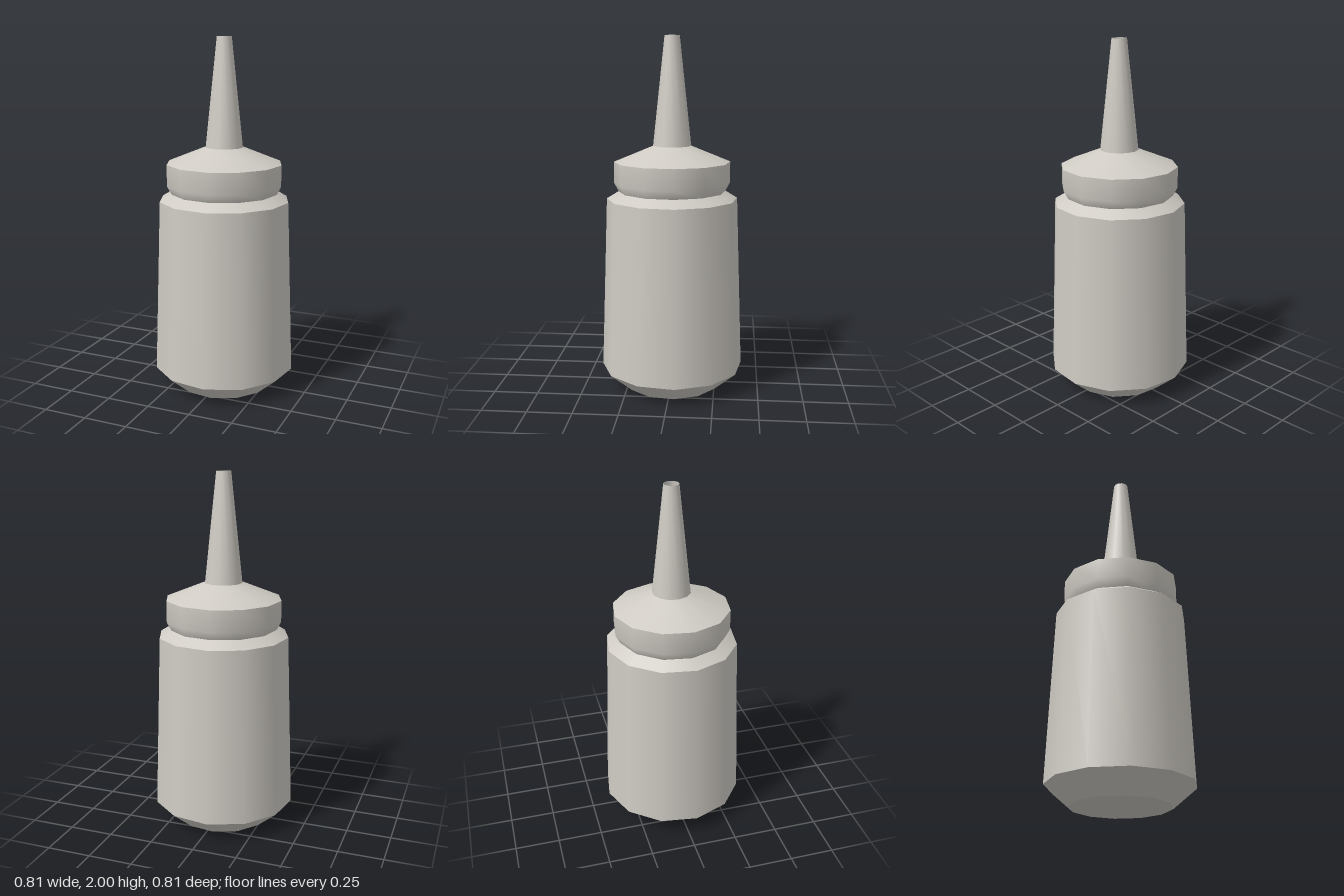
import * as THREE from 'three';

const SIDES = 12;
const TURN = 0.11; // small twist of the twelve-sided rings about the axis

export function createModel() {
  const bottle = new THREE.Group();
  bottle.name = 'squeezeBottle';

  const plastic = new THREE.MeshStandardMaterial({ color: 0xcfcbc4, side: THREE.DoubleSide });
  plastic.name = 'warm grey plastic';

  // One smooth band of revolution; separate bands keep hard edges between them
  function band(name, parent, ...profile) {
    const points = profile.map(([r, y]) => new THREE.Vector2(r, y));
    const mesh = new THREE.Mesh(new THREE.LatheGeometry(points, SIDES, TURN), plastic);
    mesh.name = name;
    parent.add(mesh);
  }

  // Bottle body, from the base up to the shoulder
  const body = new THREE.Group();
  body.name = 'body';
  band('base', body, [0, 0], [0.275, 0]);
  band('baseBevel', body, [0.275, 0], [0.406, 0.112]);
  band('wall', body, [0.406, 0.112], [0.37, 1.097]);
  band('shoulder', body, [0.37, 1.097], [0.303, 1.138]);

  // Screw cap with a tapered lower edge and a conical top
  const cap = new THREE.Group();
  cap.name = 'cap';
  band('capSide', cap, [0.303, 1.138], [0.328, 1.185], [0.328, 1.305]);
  band('capTop', cap, [0.328, 1.305], [0.107, 1.395]);
  band('nozzleFloor', cap, [0.107, 1.395], [0, 1.395]);

  // Open tapered nozzle
  band('nozzle', cap, [0.107, 1.395], [0.042, 2]);

  bottle.add(body, cap);
  return bottle;
}
